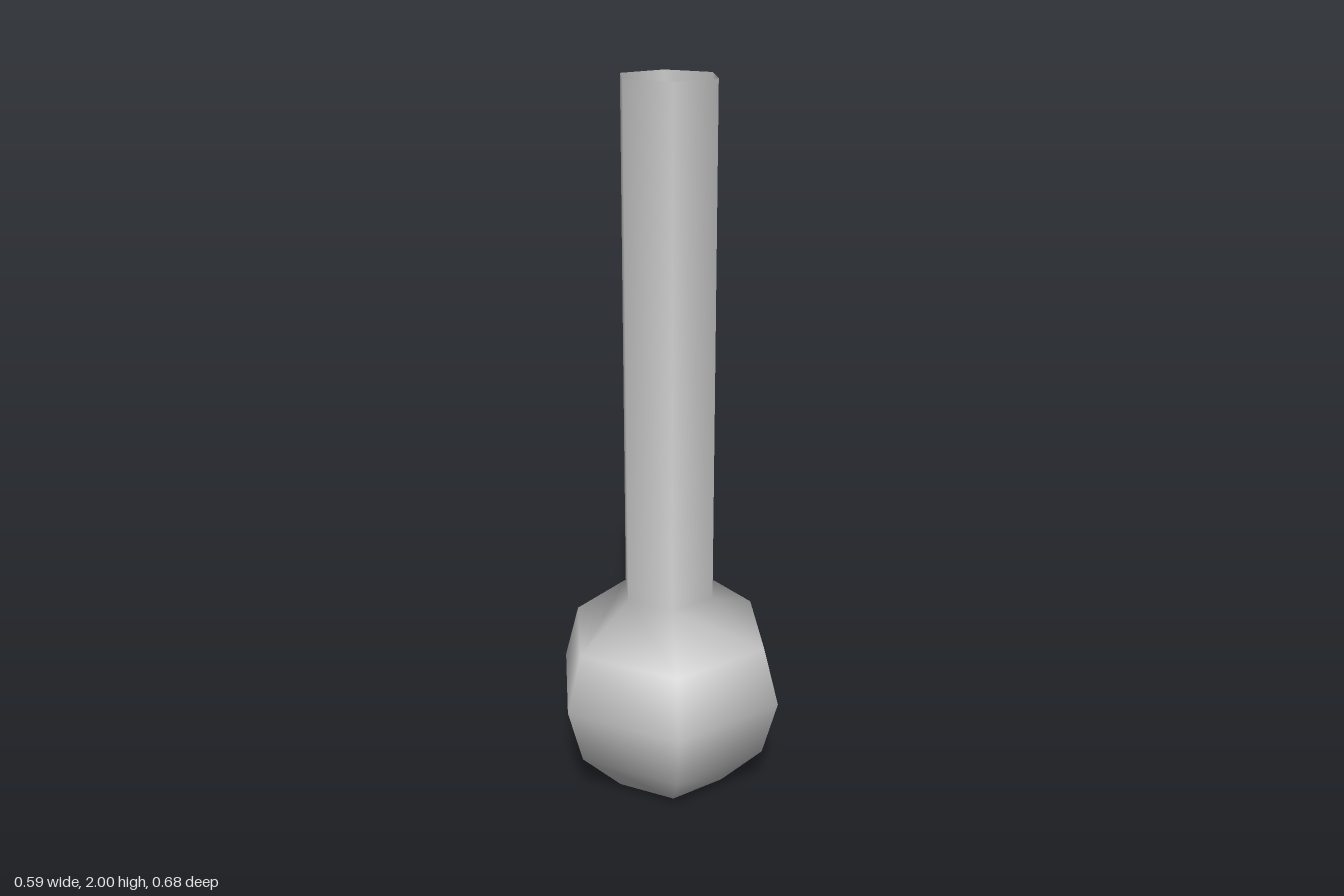
import * as THREE from 'three';

const SIDES = 6;

// Six-sided surface of revolution, corners facing front and back
function turned(name, profile, material) {
  const points = profile.map(([r, y]) => new THREE.Vector2(r, y));
  const mesh = new THREE.Mesh(new THREE.LatheGeometry(points, SIDES), material);
  mesh.name = name;
  return mesh;
}

export function createModel() {
  const flask = new THREE.Group();
  flask.name = 'flask';
  const glass = new THREE.MeshStandardMaterial({ color: 0xcccccc, side: THREE.DoubleSide });

  // Closed round bulb with a flat base, flowing into a long neck open at the top
  flask.add(turned('flaskBody', [
    [0, 0],
    [0.17, 0],
    [0.295, 0.13],
    [0.34, 0.295],
    [0.295, 0.46],
    [0.136, 0.585],
    [0.136, 2],
  ], glass));

  return flask;
}
